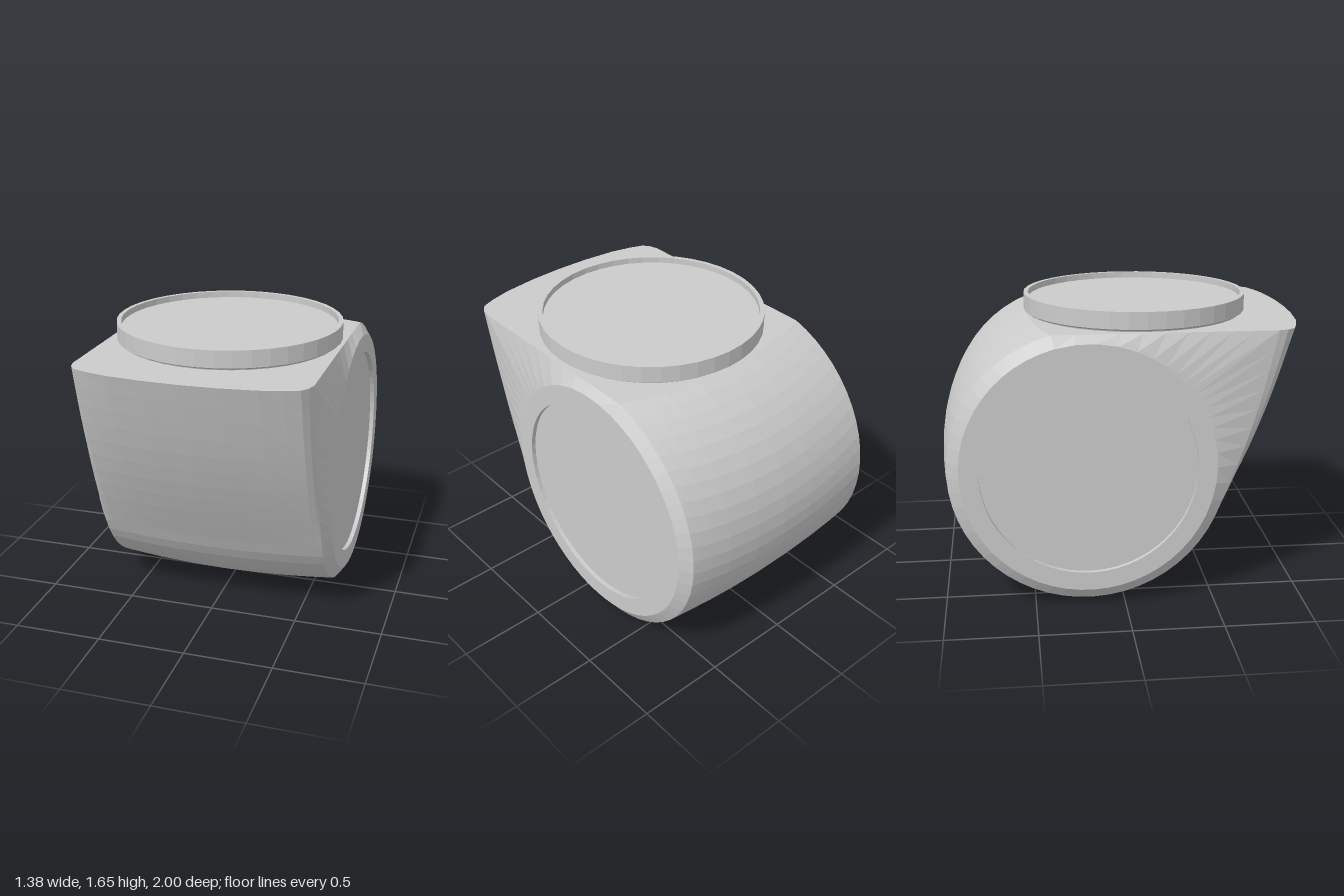
import * as THREE from 'three';

const material = new THREE.MeshStandardMaterial({ color: 0xcccccc, flatShading: true });
const CY = 0.8, CZ = -0.2;            // axis of the drum
const TOP = 1.54;                     // height of the flat top
const ARC = 36, FRONT = 10, FLAT = 10;
const RIM = 0.69, SHOULDER = 0.645;   // half widths of the end faces and of the barrel
const PANEL_R = 0.595, PANEL_X = 0.665;

// Half width and how far the spout lip reaches forward there
const lipCurve = [[0, 1], [0.2, 0.993], [0.4, 0.97], [0.52, 0.94], [0.6, 0.91], [0.63, 0.87], [SHOULDER, 0.82]];

// Teardrop section as [z, y]: round drum, sloping front, flat top
function teardrop(x, lip) {
  const r = 0.8 - 0.035 * (x / SHOULDER) ** 2;
  const start = Math.PI - Math.asin((TOP - CY) / r);
  const end = Math.PI * 2 - 0.42;
  const pts = [];
  for (let i = 0; i <= ARC; i++) {
    const a = start + (end - start) * i / ARC;
    pts.push([CZ + r * Math.cos(a), CY + r * Math.sin(a)]);
  }
  const [z0, y0] = pts[ARC], [zBack] = pts[0];
  for (let i = 1; i < FRONT; i++) {
    const t = i / FRONT;
    const bulge = 0.03 * Math.sin(Math.PI * t);
    pts.push([z0 + (lip - z0) * t + bulge, y0 + (TOP - y0) * t - bulge * 0.4]);
  }
  for (let i = 0; i < FLAT; i++) pts.push([lip + (zBack - lip) * i / FLAT, TOP]);
  return pts;
}

// Circle whose points line up with those of a section
function circleLike(section, r) {
  return section.map(([z, y]) => {
    const a = Math.atan2(y - CY, z - CZ);
    return [CZ + r * Math.cos(a), CY + r * Math.sin(a)];
  });
}

// Skin over a row of sections running along +x
function loft(sections) {
  const n = sections[0].pts.length, pos = [], index = [];
  for (const { x, pts } of sections) for (const [z, y] of pts) pos.push(x, y, z);
  for (let s = 0; s < sections.length - 1; s++) {
    for (let j = 0; j < n; j++) {
      const a = s * n + j, c = s * n + (j + 1) % n;
      index.push(a, a + n, c, c, a + n, c + n);
    }
  }
  const g = new THREE.BufferGeometry();
  g.setAttribute('position', new THREE.Float32BufferAttribute(pos, 3));
  g.setIndex(index);
  g.computeVertexNormals();
  return g;
}

export function createModel() {
  const group = new THREE.Group();
  const add = (name, geometry) => {
    const mesh = new THREE.Mesh(geometry, material);
    mesh.name = name;
    group.add(mesh);
    return mesh;
  };

  // Barrel-shaped body with bevelled end rings and recess walls
  const half = lipCurve.map(([x, lip]) => ({ x, pts: teardrop(x, lip) }));
  const shoulder = half[half.length - 1].pts;
  half.push({ x: RIM, pts: circleLike(shoulder, 0.7) });
  half.push({ x: RIM, pts: circleLike(shoulder, PANEL_R) });
  half.push({ x: PANEL_X, pts: circleLike(shoulder, PANEL_R) });
  const mirrored = half.slice(1).reverse().map(({ x, pts }) => ({ x: -x, pts }));
  add('body', loft([...mirrored, ...half]));

  // Sunken round panels on both ends
  for (const side of [1, -1]) {
    const panel = add(side > 0 ? 'leftPanel' : 'rightPanel', new THREE.CircleGeometry(PANEL_R + 0.003, 56));
    panel.rotation.y = side * Math.PI / 2;
    panel.position.set(side * PANEL_X, CY, CZ);
  }

  // Collar with a shallow dished lid
  const profile = [[0.6, 1.5], [0.615, 1.545], [0.633, 1.555], [0.633, 1.65], [0.608, 1.65], [0.608, 1.615], [0, 1.615]];
  const collar = add('collar', new THREE.LatheGeometry(profile.map(([r, y]) => new THREE.Vector2(r, y)), 40));
  collar.position.z = 0.117;

  return group;
}
